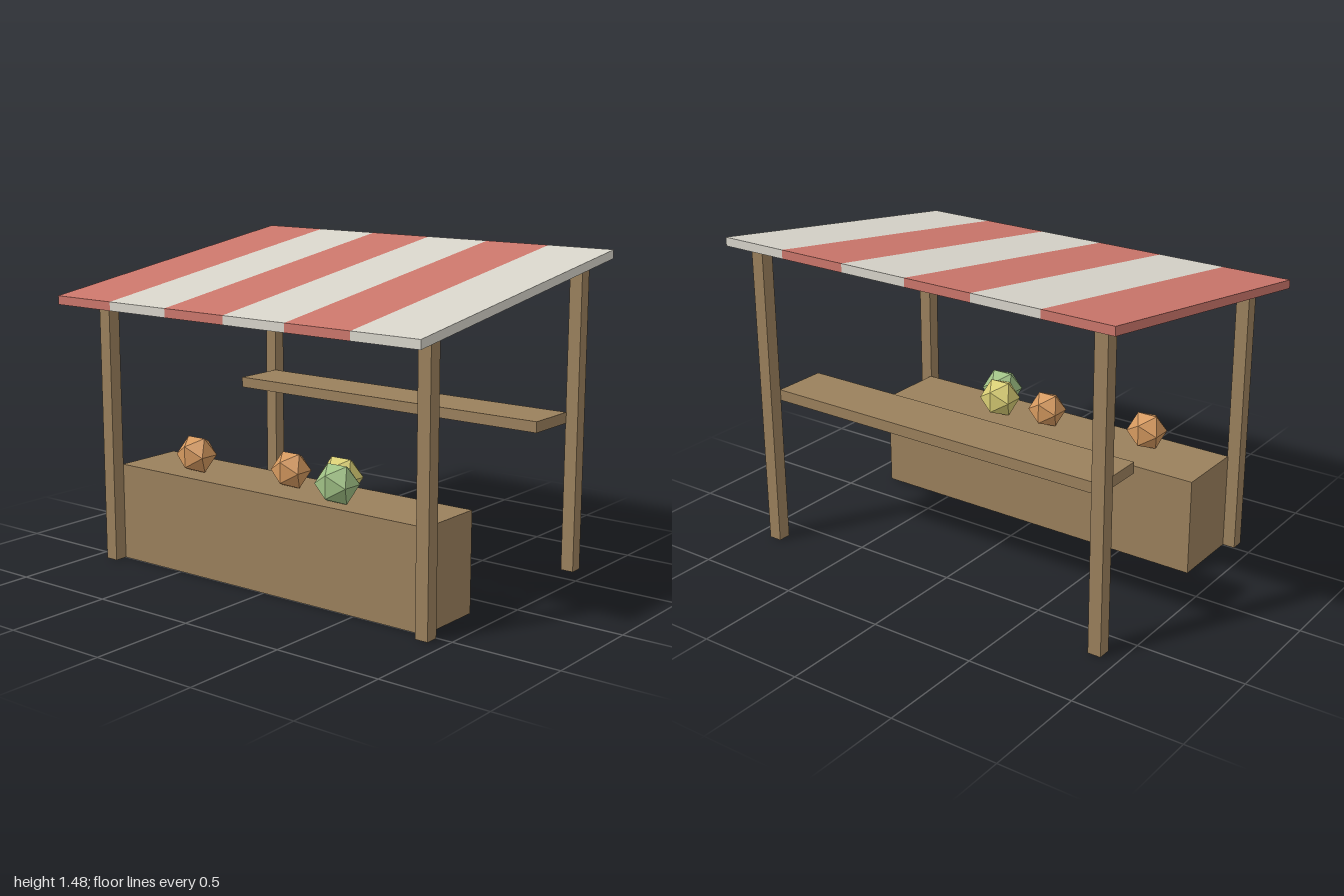
import * as THREE from 'three';

const material = (color) => new THREE.MeshStandardMaterial({ color, flatShading: true });

export function createModel() {
  const stall = new THREE.Group();
  stall.name = 'marketStall';

  const wood = material(0x9a805c);
  const red = material(0xcb766b);
  const cream = material(0xd7d4ca);

  // Adds a box given its extents on each axis
  function box(name, mat, [x0, x1], [y0, y1], [z0, z1]) {
    const mesh = new THREE.Mesh(new THREE.BoxGeometry(x1 - x0, y1 - y0, z1 - z0), mat);
    mesh.position.set((x0 + x1) / 2, (y0 + y1) / 2, (z0 + z1) / 2);
    mesh.name = name;
    stall.add(mesh);
    return mesh;
  }

  // Counter and back shelf fit between the posts
  box('counter', wood, [-0.865, 0.865], [0, 0.455], [0.163, 0.503]);
  box('backShelf', wood, [-0.865, 0.865], [0.695, 0.746], [-0.606, -0.346]);

  // Corner posts, taller at the back
  for (const [side, x] of [['right', -0.893], ['left', 0.893]]) {
    box(side + 'FrontPost', wood, [x - 0.031, x + 0.031], [0, 1.257], [0.503, 0.565]);
    box(side + 'BackPost', wood, [x - 0.031, x + 0.031], [0, 1.427], [-0.668, -0.606]);
  }

  // Striped sloping roof: each strip is sheared so its ends stay vertical
  const stripes = 6;
  const width = 2 / stripes;
  for (let i = 0; i < stripes; i++) {
    const x = -1 + i * width;
    const strip = box('roofStripe', i % 2 ? cream : red, [x, x + width], [1.333, 1.373], [-0.745, 0.745]);
    const p = strip.geometry.attributes.position;
    for (let v = 0; v < p.count; v++) p.setY(v, p.getY(v) - p.getZ(v) * 0.1443);
    strip.geometry.computeVertexNormals();
  }

  // Faceted fruit resting on the counter: name, colour, x, z, half height
  const fruits = [
    ['orangeFruit', 0xd5995f, -0.5, 0.385, 0.08],
    ['orangeFruit', 0xd5995f, 0.023, 0.335, 0.077],
    ['yellowFruit', 0xd8cd74, 0.286, 0.313, 0.083],
    ['greenFruit', 0x9fc084, 0.35, 0.422, 0.083],
  ];
  for (const [name, color, x, z, half] of fruits) {
    const fruit = new THREE.Mesh(new THREE.IcosahedronGeometry(half / 0.8507, 0), material(color));
    fruit.position.set(x, 0.455 + half, z);
    fruit.name = name;
    stall.add(fruit);
  }

  return stall;
}
